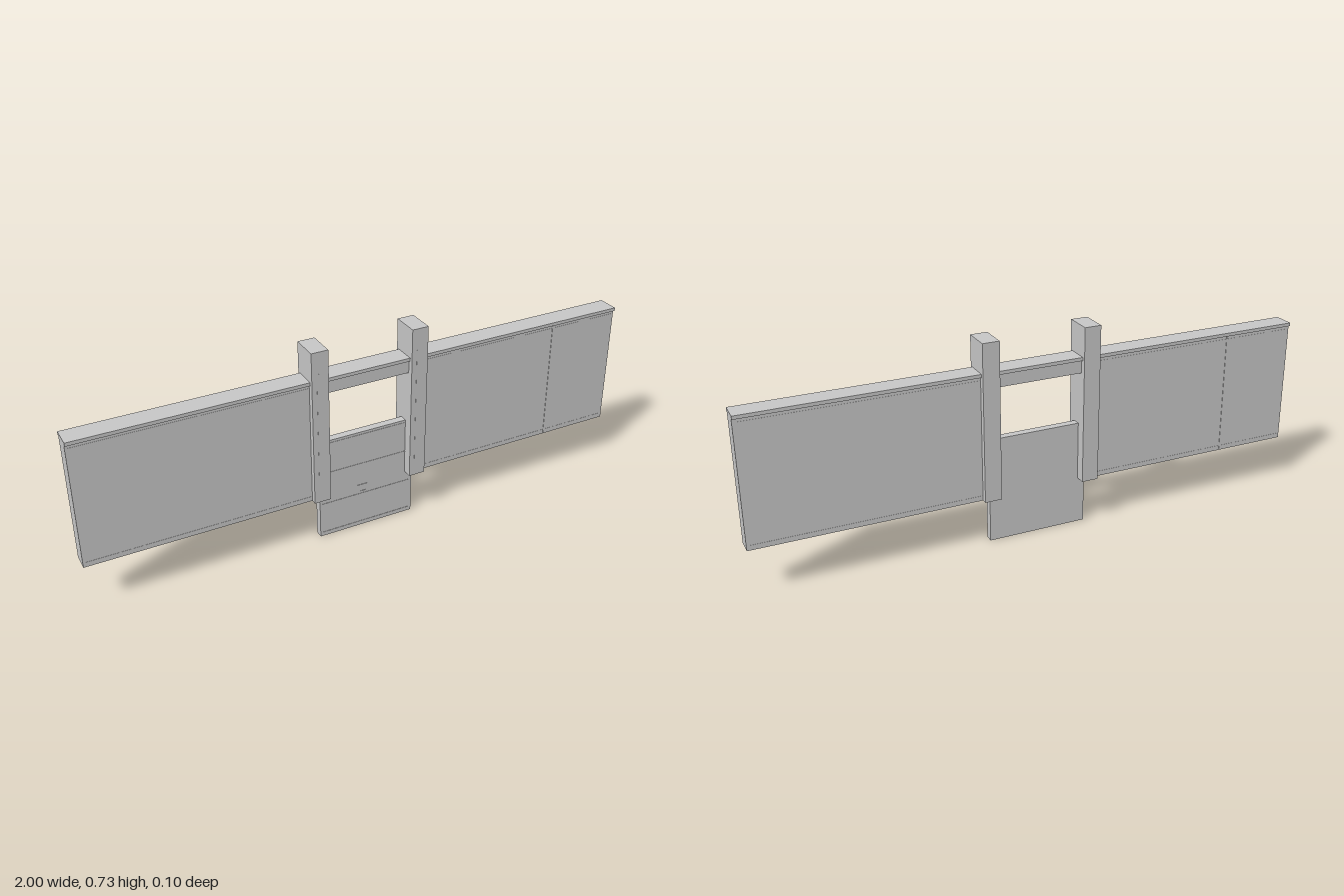
import * as THREE from 'three';

export function createModel() {
  const group = new THREE.Group();
  const concrete = new THREE.MeshStandardMaterial({ color: 0xc6c6c6 });
  concrete.name = 'concrete grey';

  const add = (name, geometry) => {
    const mesh = new THREE.Mesh(geometry, concrete);
    mesh.name = name;
    group.add(mesh);
    return mesh;
  };
  // Box given by its limits on each axis
  const box = (name, x0, x1, y0, y1, z0, z1) =>
    add(name, new THREE.BoxGeometry(x1 - x0, y1 - y0, z1 - z0))
      .position.set((x0 + x1) / 2, (y0 + y1) / 2, (z0 + z1) / 2);
  // T-shaped section (wall with overhanging cap) extruded along x
  const capped = (name, x0, x1, bottom) => {
    const s = new THREE.Shape([
      [-0.03, bottom], [0.03, bottom], [0.03, 0.613], [0.038, 0.613],
      [0.038, 0.625], [-0.038, 0.625], [-0.038, 0.613], [-0.03, 0.613],
    ].map(([z, y]) => new THREE.Vector2(-z, y)));
    const g = new THREE.ExtrudeGeometry(s, { depth: x1 - x0, bevelEnabled: false });
    g.rotateY(Math.PI / 2).translate(x0, 0, 0);
    add(name, g);
  };

  // Side walls and the beam bridging the opening
  capped('rightWall', -1, -0.21, 0.17);
  capped('leftWall', 0.205, 1, 0.17);
  capped('crossBeam', -0.16, 0.155, 0.567);

  // Guide posts with a narrow raised line on the front
  for (const [side, x] of [['right', -0.185], ['left', 0.18]]) {
    box(side + 'Post', x - 0.03, x + 0.03, 0.17, 0.732, -0.05, 0.05);
    box(side + 'PostStrip', x - 0.012, x - 0.004, 0.235, 0.655, 0.048, 0.0506);
  }

  // Wall seams and fine lines along the top and bottom of both faces
  for (const [side, z] of [['front', 0.0295], ['back', -0.0295]]) {
    const x = Math.sign(z) * 0.735;
    box(side + 'Seam', x - 0.003, x + 0.003, 0.172, 0.613, z - 0.002, z + 0.002);
    for (const y of [0.185, 0.598]) {
      box(side + 'RightWallLine', -0.99, -0.21, y, y + 0.003, z - 0.0012, z + 0.0012);
      box(side + 'LeftWallLine', 0.205, 0.99, y, y + 0.003, z - 0.0012, z + 0.0012);
    }
  }

  // Sliding gate with fine horizontal ribs
  box('gate', -0.18, 0.178, 0, 0.378, -0.013, 0.015);
  for (const y of [0.012, 0.128, 0.25, 0.365])
    box('gateRib', -0.17, 0.17, y, y + 0.004, 0.013, 0.0162);

  // Small level mark on the gate
  const mark = new THREE.Shape([[-0.035, 0.168], [-0.015, 0.148], [0.005, 0.168]]
    .map(([x, y]) => new THREE.Vector2(x, y)));
  add('levelMark', new THREE.ExtrudeGeometry(mark, { depth: 0.002, bevelEnabled: false }))
    .position.z = 0.0145;
  box('levelMarkLine', -0.025, -0.005, 0.139, 0.142, 0.014, 0.0165);

  return group;
}
